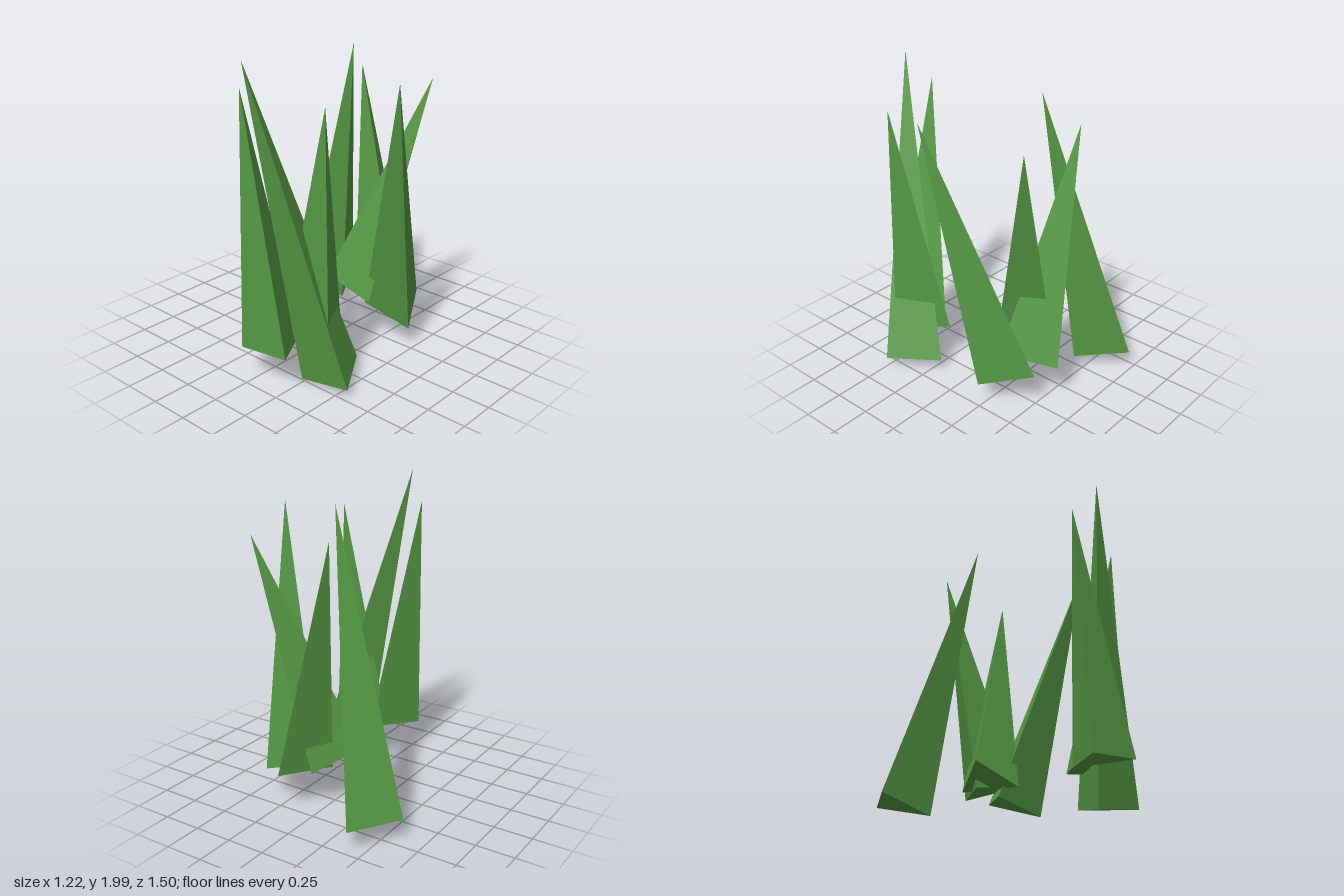
import * as THREE from 'three';

const RADIUS = 0.214;

// [tip, centre of the base] of every blade
const BLADES = [
  [[0.042, 2.0, 0.747], [0.403, 0.058, 0.387]],
  [[-0.037, 1.932, -0.279], [-0.427, 0.117, -0.537]],
  [[0.606, 1.842, 0.087], [0.31, 0.213, -0.334]],
  [[-0.085, 1.813, 0.65], [0.122, 0.243, 0.611]],
  [[-0.138, 1.76, -0.488], [0.173, 0.293, -0.395]],
  [[0.434, 1.762, 0.512], [0.28, 0.28, 0.412]],
  [[0.407, 1.745, -0.51], [0.035, 0.309, -0.255]],
];

// Three-sided spike standing on its base centre and leaning to its tip,
// with one base edge kept square to the front
function createBlade(tip, base, material) {
  const top = new THREE.Vector3(...tip);
  const foot = new THREE.Vector3(...base);
  const axis = top.clone().sub(foot);
  const height = axis.length();
  axis.normalize();
  const side = new THREE.Vector3(axis.y, -axis.x, 0).normalize();
  const back = axis.clone().cross(side);

  const geometry = new THREE.ConeGeometry(RADIUS, height, 3).toNonIndexed();
  geometry.translate(0, height / 2, 0);
  geometry.applyMatrix4(
    new THREE.Matrix4().makeBasis(side.negate(), axis, back).setPosition(foot)
  );
  geometry.computeVertexNormals();
  return new THREE.Mesh(geometry, material);
}

export function createModel() {
  const group = new THREE.Group();
  group.name = 'grassTuft';
  const green = new THREE.MeshStandardMaterial({ color: 0x559944 });
  green.name = 'grass green';
  BLADES.forEach(([tip, base], i) => {
    const blade = createBlade(tip, base, green);
    blade.name = `grassBlade${i + 1}`;
    group.add(blade);
  });
  return group;
}
